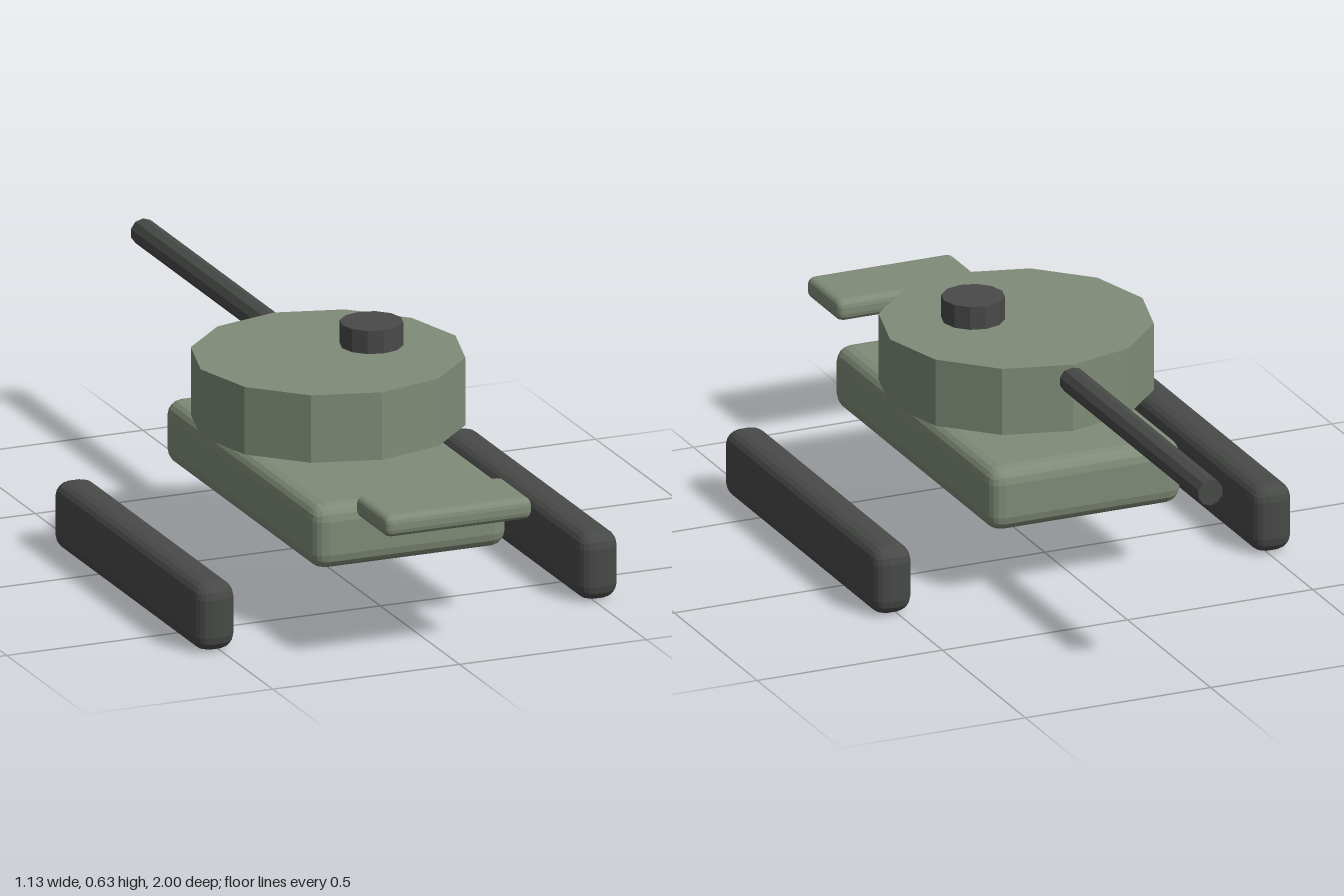
import * as THREE from 'three';
import { RoundedBoxGeometry } from 'three/addons/geometries/RoundedBoxGeometry.js';

export function createModel() {
  const model = new THREE.Group();
  model.name = 'tank';

  const green = new THREE.MeshStandardMaterial({ name: 'olive green', color: 0x808c78, flatShading: true });
  const dark = new THREE.MeshStandardMaterial({ name: 'dark grey', color: 0x484a48, flatShading: true });

  const add = (name, geometry, material, x, y, z) => {
    const mesh = new THREE.Mesh(geometry, material);
    mesh.name = name;
    mesh.position.set(x, y, z);
    model.add(mesh);
    return mesh;
  };

  // Hull and the separate front plate
  add('hull', new RoundedBoxGeometry(0.522, 0.166, 0.962, 2, 0.04), green, 0, 0.262, 0.22);
  add('frontPlate', new RoundedBoxGeometry(0.395, 0.056, 0.198, 2, 0.02), green, 0, 0.378, 0.902);

  // Tracks stand clear of the hull on both sides
  for (const [name, side] of [['leftTrack', 1], ['rightTrack', -1]]) {
    add(name, new RoundedBoxGeometry(0.108, 0.177, 0.934, 2, 0.04), dark, side * 0.513, 0.0885, 0.22);
  }

  // Twelve-sided turret with an off-centre hatch
  add('turret', new THREE.CylinderGeometry(0.341, 0.341, 0.175, 12), green, 0, 0.47, 0.17);
  add('hatch', new THREE.CylinderGeometry(0.079, 0.079, 0.06, 12), dark, 0.109, 0.6, 0.187);

  // Barrel points backwards along -z
  const barrel = add('barrel', new THREE.CylinderGeometry(0.034, 0.034, 0.835, 10), dark, 0, 0.516, -0.5825);
  barrel.rotation.x = Math.PI / 2;

  return model;
}
